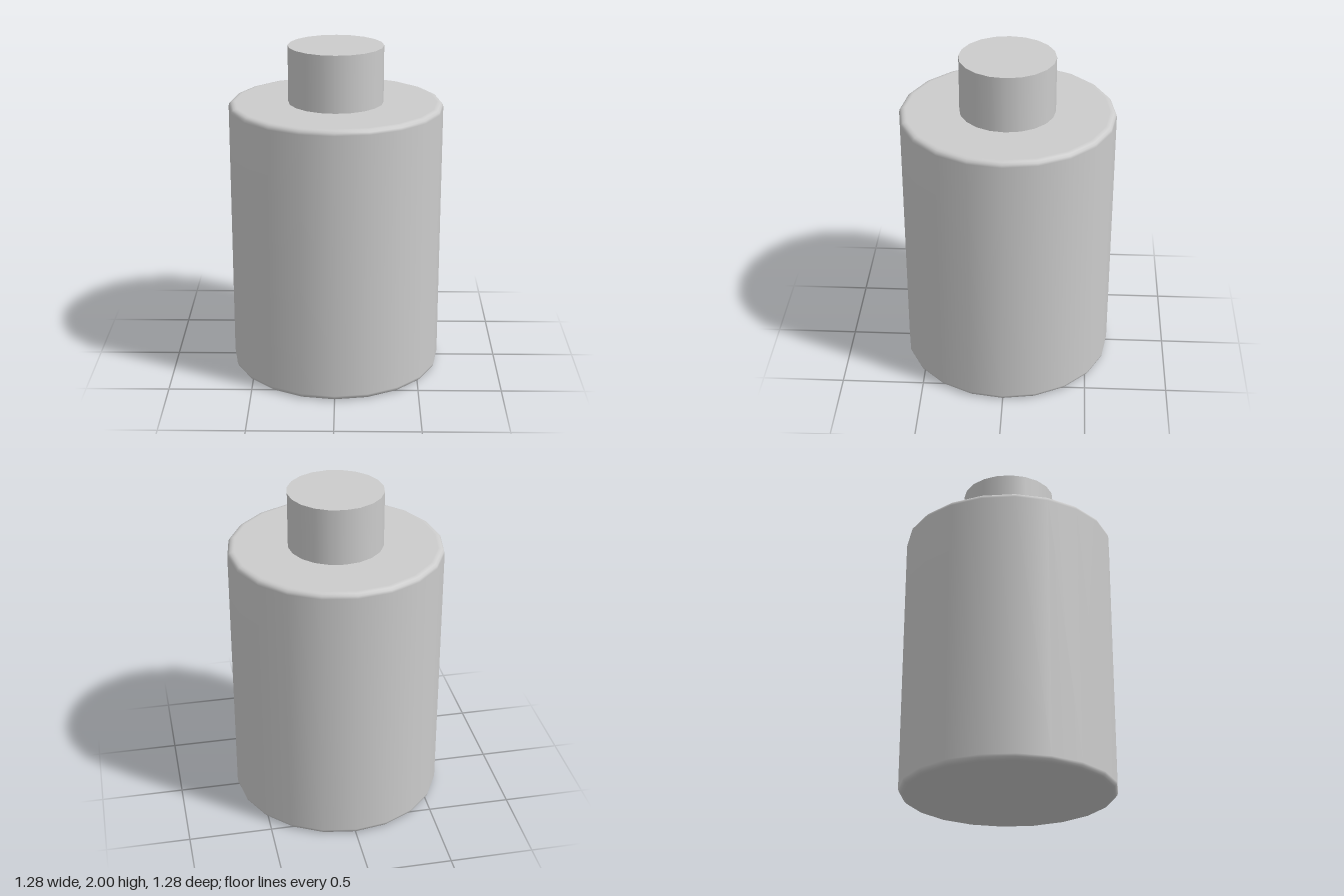
import * as THREE from 'three';

const SIDES = 20;

export function createModel() {
  const group = new THREE.Group();
  const material = new THREE.MeshStandardMaterial({ color: 0xcccccc });

  // Body: a turned cylinder with small rounded rims at both ends
  const radius = 0.64, top = 1.66, bevel = 0.03, steps = 3;
  const profile = [[0, 0], [radius - bevel - 0.01, 0]];
  const addRim = (centreY, start) => {
    for (let i = 0; i <= steps; i++) {
      const a = start + (i / steps) * Math.PI / 2;
      profile.push([radius - bevel + bevel * Math.cos(a), centreY + bevel * Math.sin(a)]);
    }
  };
  addRim(bevel, -Math.PI / 2);
  addRim(top - bevel, 0);
  profile.push([radius - bevel - 0.01, top], [0, top]);
  const body = new THREE.Mesh(
    new THREE.LatheGeometry(profile.map(([x, y]) => new THREE.Vector2(x, y)), SIDES),
    material
  );
  body.name = 'body';
  group.add(body);

  // Neck: a plain sharp-edged cylinder standing on the body
  const neckHeight = 2 - top;
  const neck = new THREE.Mesh(
    new THREE.CylinderGeometry(0.284, 0.284, neckHeight, SIDES),
    material
  );
  neck.position.y = top + neckHeight / 2;
  neck.name = 'neck';
  group.add(neck);

  return group;
}
